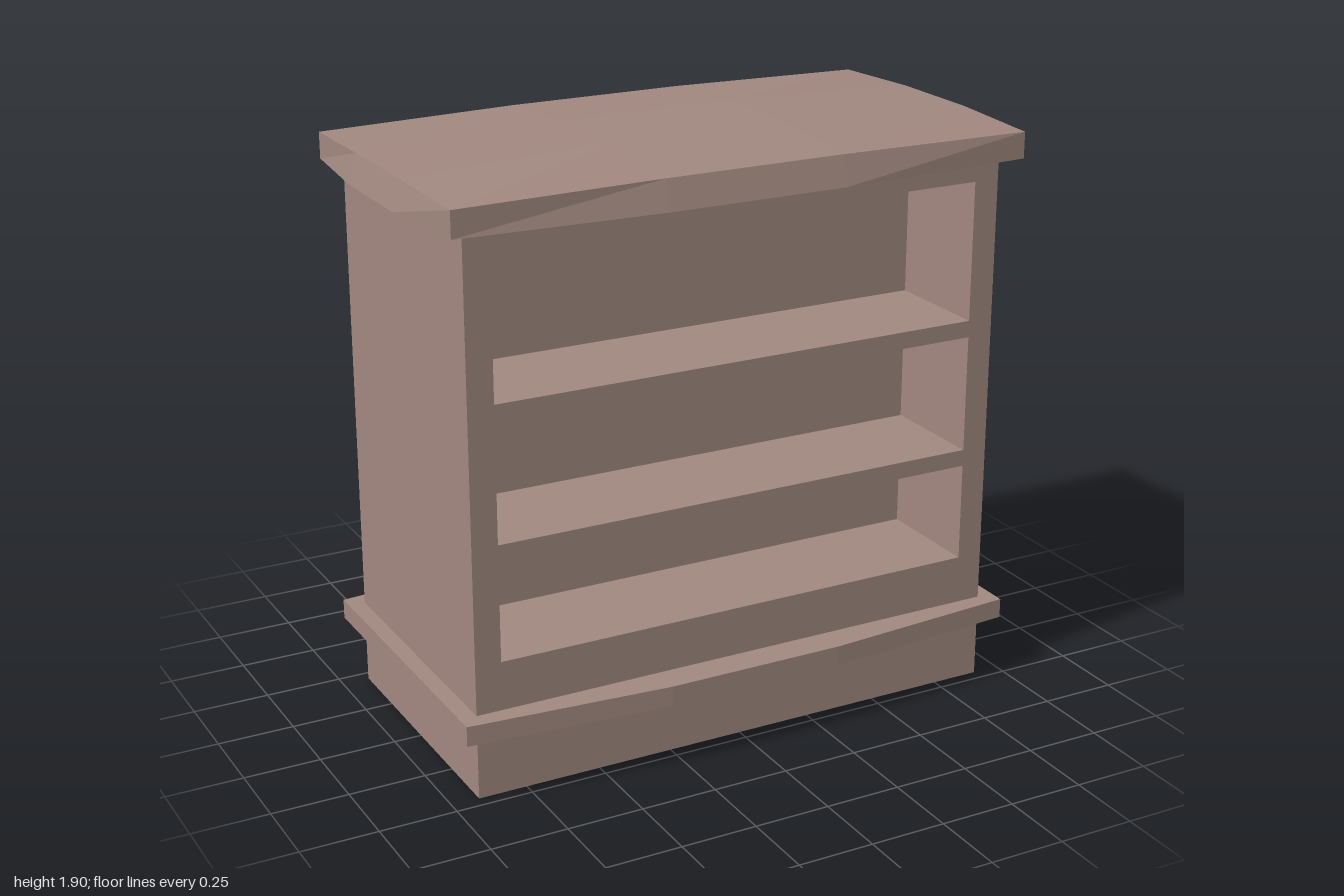
import * as THREE from 'three';

// Slab with bowed edges: a 3x3 segmented box whose vertices are moved by a rule.
function bowedSlab(place) {
  const geo = new THREE.BoxGeometry(1, 1, 1, 3, 1, 3).toNonIndexed();
  const p = geo.attributes.position;
  for (let i = 0; i < p.count; i++) {
    const x = p.getX(i), z = p.getZ(i);
    const [px, py, pz] = place(Math.abs(x) > 0.4, Math.abs(z) > 0.4, p.getY(i) > 0);
    p.setXYZ(i, Math.sign(x) * px, py, Math.sign(z) * pz);
  }
  geo.computeVertexNormals();
  return geo;
}

export function createModel() {
  const group = new THREE.Group();
  const wood = new THREE.MeshStandardMaterial({ color: 0xa1887f });
  wood.name = 'dusty brown wood';

  const add = (name, geo) => {
    const mesh = new THREE.Mesh(geo, wood);
    mesh.name = name;
    group.add(mesh);
    return mesh;
  };
  const rect = (Type, x, y0, y1) => new Type([
    new THREE.Vector2(-x, y0), new THREE.Vector2(x, y0),
    new THREE.Vector2(x, y1), new THREE.Vector2(-x, y1),
  ]);

  // Shelf frame with three open compartments
  const W = 0.91, D = 0.46, H = 1.785, depth = 0.37;
  const face = rect(THREE.Shape, W, 0, H);
  for (const [y0, y1] of [[0.44, 0.765], [0.82, 1.205], [1.26, 1.715]]) {
    face.holes.push(rect(THREE.Path, 0.825, y0, y1));
  }
  add('shelfFrame', new THREE.ExtrudeGeometry(face, { depth, bevelEnabled: false }))
    .position.z = D - depth;

  // Solid back closing the compartments
  const backDepth = 2 * D - depth;
  add('back', new THREE.BoxGeometry(2 * W, H, backDepth))
    .position.set(0, H / 2, -D + backDepth / 2);

  // Base moulding, bowed at front and back
  add('baseMoulding', bowedSlab((ox, oz, top) => [
    ox ? 0.965 : 0.3,
    top ? 0.28 : 0.215,
    oz ? (ox ? 0.512 : 0.565) : 0.17,
  ]));

  // Crowned top, bowed on all sides and flared toward its lower edge
  add('top', bowedSlab((ox, oz, top) => [
    ox ? (oz ? 0.965 : top ? 0.975 : 1.0) : 0.3,
    top ? (ox && oz ? 1.87 : ox || oz ? 1.88 : 1.905) : H,
    oz ? (ox ? 0.515 : top ? 0.525 : 0.55) : 0.17,
  ]));

  return group;
}
